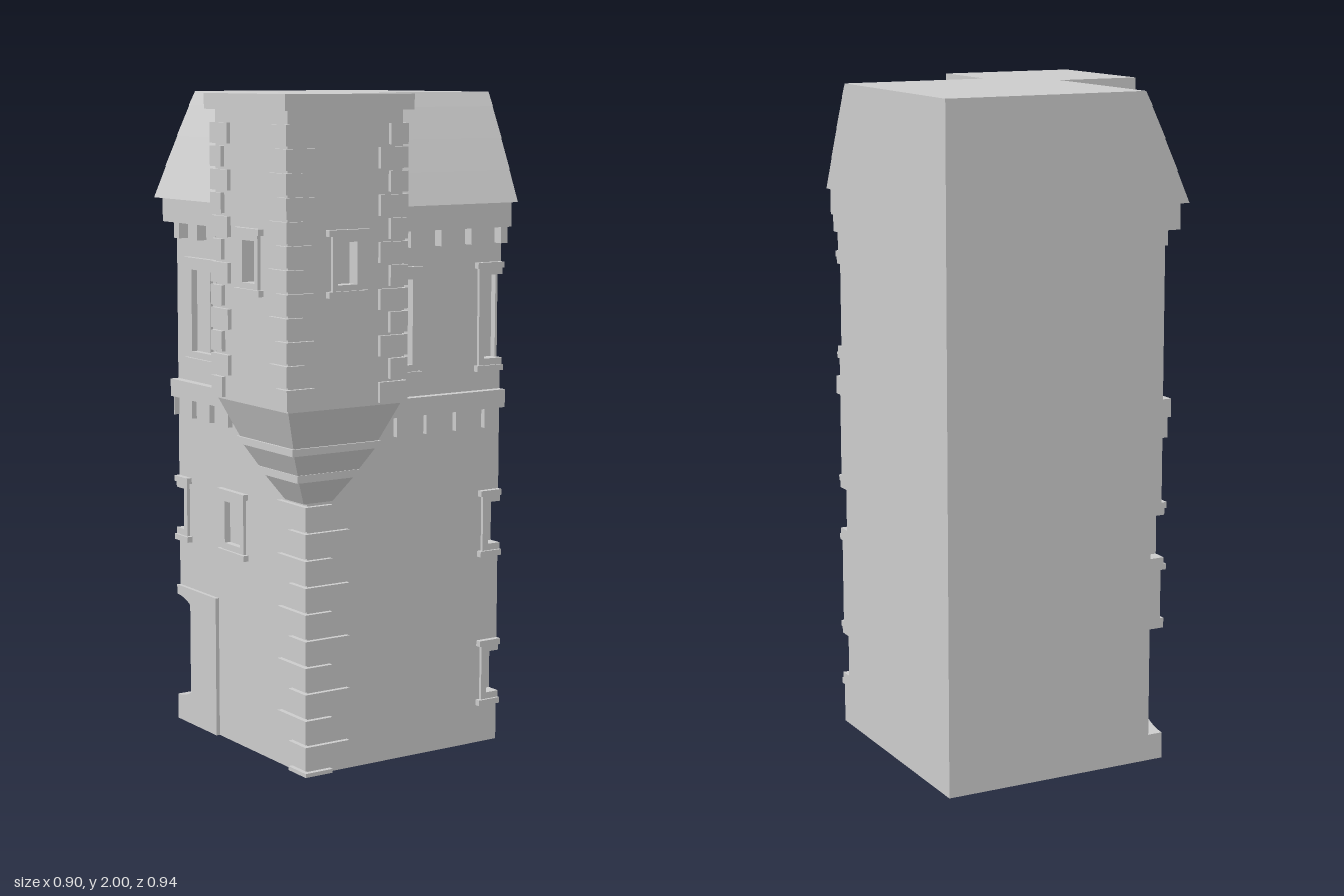
import * as THREE from 'three';

const stone = new THREE.MeshStandardMaterial({ color: 0xcccccc });
stone.name = 'stone';

function add(parent, name, geometry) {
  const g = geometry.index ? geometry.toNonIndexed() : geometry;
  g.computeVertexNormals(); // flat faces
  const mesh = new THREE.Mesh(g, stone);
  mesh.name = name;
  parent.add(mesh);
  return mesh;
}

// Box from its limits on each axis
function block(parent, name, x0, x1, y0, y1, z0, z1) {
  const g = new THREE.BoxGeometry(x1 - x0, y1 - y0, z1 - z0);
  g.translate((x0 + x1) / 2, (y0 + y1) / 2, (z0 + z1) / 2);
  return add(parent, name, g);
}

const vec = ([x, y]) => new THREE.Vector2(x, y);

// Flat panel with holes, extruded from z0 towards +z
function panel(parent, name, outline, holes, z0, depth) {
  const shape = new THREE.Shape(outline.map(vec));
  for (const h of holes) shape.holes.push(new THREE.Path(h.map(vec)));
  const g = new THREE.ExtrudeGeometry(shape, { depth, bevelEnabled: false });
  g.translate(0, 0, z0);
  return add(parent, name, g);
}

const rect = (a, b, y0, y1) => [[a, y0], [b, y0], [b, y1], [a, y1]];

// Window kinds: half width and height range of the opening, frame and ledge sizes
const TALL = { half: 0.065, low: -0.127, high: 0.127, frame: 0.02, ledge: 0.03, mullion: true };
const SMALL = { half: 0.045, low: -0.065, high: 0.065, frame: 0.02, ledge: 0.033 };
const SLIT = { half: 0.033, low: -0.06, high: 0.06, frame: 0.017, ledge: 0.034 };

// Frame, lintel, sill and mullion; bar(name, u0, u1, y0, y1, w0, w1)
function windowTrim(bar, wall, u, y, k) {
  const { half, low, high, frame: f, ledge } = k;
  for (const d of [-1, 1]) {
    const a = u + d * half, b = u + d * (half + f);
    bar('windowJamb', Math.min(a, b), Math.max(a, b), y + low - f, y + high + f, wall - 0.01, wall + 0.01);
  }
  bar('windowHead', u - half, u + half, y + high, y + high + f, wall - 0.01, wall + 0.01);
  bar('windowBase', u - half, u + half, y + low - f, y + low, wall - 0.01, wall + 0.01);
  const e = half + ledge;
  bar('windowLintel', u - e, u + e, y + high + f, y + high + f + 0.018, wall - 0.01, wall + 0.018);
  bar('windowSill', u - e, u + e, y + low - f - 0.018, y + low - f, wall - 0.01, wall + 0.018);
  if (k.mullion) bar('windowMullion', u - 0.006, u + 0.006, y + low, y + high, wall - 0.04, wall - 0.015);
}

// One street wall: u runs away from the turret, s gives its direction on local x
function facade(name, s, len, windows, oculus) {
  const group = new THREE.Group();
  group.name = name;
  const wall = 0.275, start = -0.255;
  const bar = (n, u0, u1, y0, y1, w0, w1) => {
    const end = Math.min(u1, len);
    if (end - u0 < 0.001) return;
    block(group, n, Math.min(s * u0, s * end), Math.max(s * u0, s * end), y0, y1, w0, w1);
  };
  const flip = pts => pts.map(([u, y]) => [s * u, y]);

  // Wall outline, notched where an opening meets the far edge
  const outline = [[start, 0], [len, 0]], holes = [];
  let arc = [];
  if (oculus) {
    for (let i = 0; i <= 24; i++) {
      const a = -Math.PI / 2 - Math.PI * i / 24;
      arc.push([len + oculus.r * Math.cos(a), oculus.y + oculus.r * Math.sin(a)]);
    }
    outline.push(...arc);
  }
  for (const [u, y, k] of windows) {
    const a = u - k.half, b = u + k.half;
    if (b < len) holes.push(flip(rect(a, b, y + k.low, y + k.high)));
    else outline.push([len, y + k.low], [a, y + k.low], [a, y + k.high], [len, y + k.high]);
    windowTrim(bar, wall, u, y, k);
  }
  outline.push([len, 1.65], [start, 1.65]);
  panel(group, 'wall', flip(outline), holes, wall - 0.035, 0.035);

  // Raised surround of the round opening
  if (oculus) {
    const o = [[len - 0.24, 0], [len, 0], ...arc, [len, 0.44], [len - 0.24, 0.44]];
    panel(group, 'roundOpeningSurround', flip(o), [], wall, 0.012);
  }

  // String course and its brackets, then the brackets of the eaves
  bar('stringCourse', -0.2, len, 1.05, 1.105, 0.24, 0.303);
  for (let u = -0.057; u < len; u += 0.1085) bar('lowerBracket', u, u + 0.034, 0.99, 1.05, 0.25, 0.292);
  for (let u = -0.022; u < len; u += 0.1105) bar('eavesBracket', u, u + 0.033, 1.55, 1.6, 0.25, 0.307);

  // Stepped roof slope with eaves
  const profile = [[0.15, 1.6], [0.325, 1.6], [0.325, 1.675], [0.355, 1.675], [0.312, 1.77],
    [0.314, 1.77], [0.27, 1.863], [0.272, 1.863], [0.226, 1.957], [0.228, 1.957], [0.205, 2], [0.15, 2]];
  const u0 = -0.017, d = len - u0;
  const roof = new THREE.ExtrudeGeometry(new THREE.Shape(profile.map(vec)), { depth: d, bevelEnabled: false });
  roof.rotateY(-Math.PI / 2);
  roof.translate(s > 0 ? len : -u0, 0, 0);
  add(group, 'roofSlope', roof);
  return group;
}

// Corner stones, alternating long and short arms; dx, dz point inward from the corner
function quoins(parent, name, x, z, dx, dz, y0, count, step, height, long, short) {
  for (let i = 0; i < count; i++) {
    const [a, b] = i % 2 ? [short, long] : [long, short];
    const y = y0 + i * step, x1 = x + dx * a, z1 = z + dz * b;
    block(parent, name, Math.min(x, x1), Math.max(x, x1), y, y + height, Math.min(z, z1), Math.max(z, z1));
  }
}

function buildTurret() {
  const turret = new THREE.Group();
  turret.name = 'turret';
  turret.position.set(-0.234, 0, 0.2525);
  const h = 0.193, inner = h - 0.03, y0 = 1.12, y1 = 1.96;
  block(turret, 'turretCore', -inner, h, y0, y1, -h, inner);

  // Two outer walls with a small window each
  for (const turn of [0, -Math.PI / 2]) {
    const face = new THREE.Group();
    face.name = 'turretFace';
    face.rotation.y = turn;
    const y = 1.53, k = SLIT;
    panel(face, 'turretWall', rect(-h, h, y0, y1), [rect(-k.half, k.half, y + k.low, y + k.high)], inner, 0.03);
    windowTrim((n, ...r) => block(face, n, ...r), h, 0, y, k);
    turret.add(face);
  }

  // Corner stones and cap
  const q = h + 0.012;
  for (const sx of [-1, 1]) for (const sz of [-1, 1]) {
    quoins(turret, 'turretQuoin', sx * q, sz * q, -sx, -sz, 1.127, 12, 0.0665, 0.059, 0.095, 0.06);
  }
  block(turret, 'turretCap', -0.216, 0.216, 1.955, 2, -0.2175, 0.2175);

  // Square stepped corbel under the turret
  const steps = [[0, 0.825], [0.05, 0.825], [0.095, 0.9], [0.108, 0.9], [0.108, 0.922], [0.105, 0.922],
    [0.14, 0.987], [0.152, 0.987], [0.152, 1.008], [0.145, 1.008], [h, 1.125], [0, 1.125]];
  const corbel = new THREE.LatheGeometry(steps.map(([r, y]) => new THREE.Vector2(r * Math.SQRT2, y)), 4);
  corbel.rotateY(Math.PI / 4);
  add(turret, 'turretCorbel', corbel);
  return turret;
}

export function createModel() {
  const model = new THREE.Group();
  model.name = 'cornerBuilding';

  // Solid core behind the walls and under the roof
  block(model, 'lowerCore', -0.22, 0.445, 0, 1.65, -0.47, 0.24);
  block(model, 'upperCore', -0.185, 0.445, 1.6, 2, -0.47, 0.205);

  // Windows listed upwards: position along the wall, height, kind
  model.add(facade('frontFacade', 1, 0.445, [
    [0.445, 0.222, SMALL], [0.445, 0.692, SMALL], [0.047, 1.328, TALL], [0.443, 1.328, TALL],
  ]));
  const side = facade('sideFacade', -1, 0.49, [
    [0.49, 0.692, SMALL], [0.15, 0.692, SMALL], [0.047, 1.328, TALL], [0.32, 1.328, TALL],
  ], { y: 0.245, r: 0.165 });
  side.rotation.y = -Math.PI / 2;
  side.position.set(0.02, 0, 0.02);
  model.add(side);

  // Corner stones below the turret
  block(model, 'cornerQuoin', -0.27, -0.175, 0, 0.012, 0.195, 0.29);
  quoins(model, 'cornerQuoin', -0.27, 0.29, 1, -1, 0.02, 11, 0.08, 0.071, 0.155, 0.095);

  model.add(buildTurret());
  return model;
}
